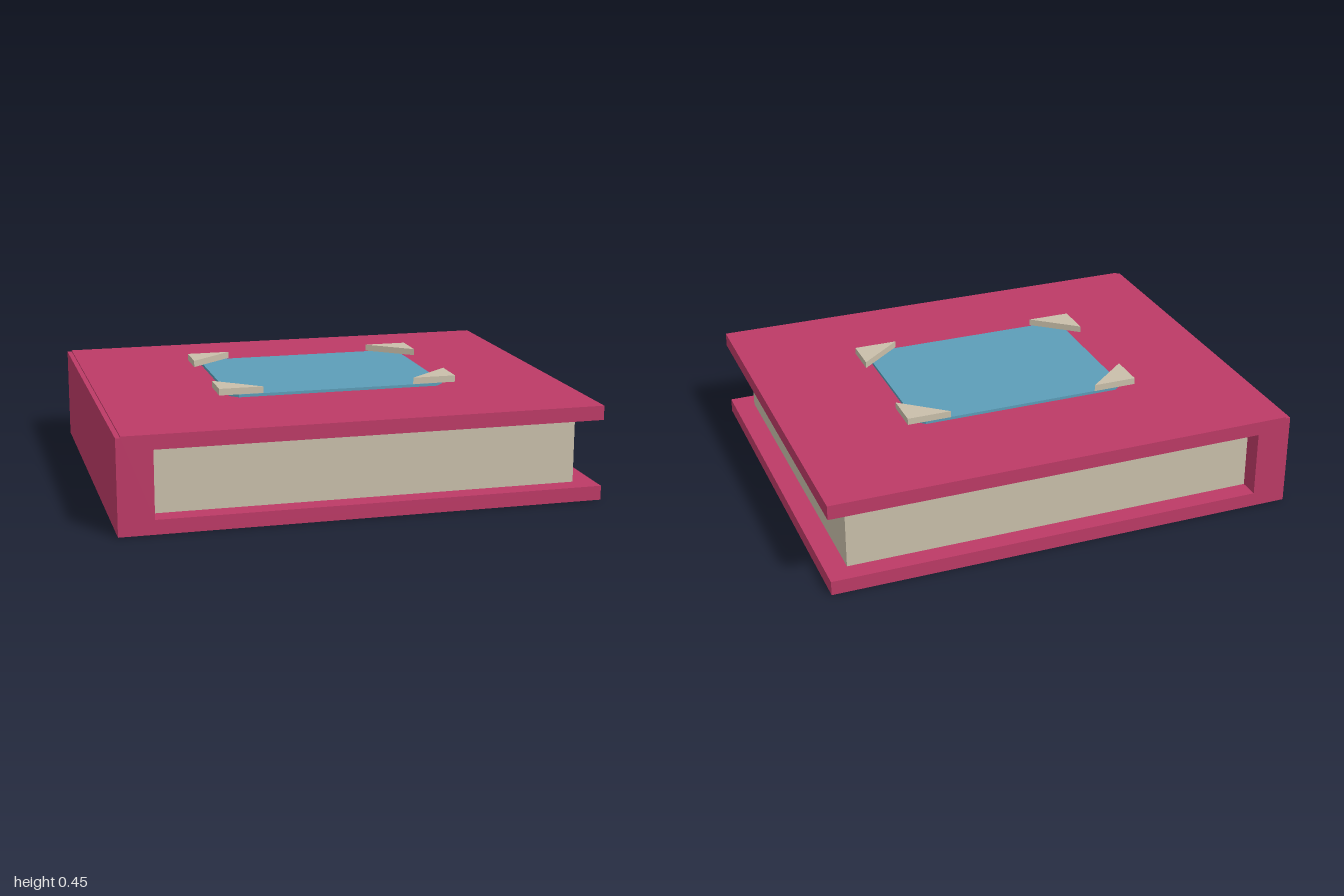
import * as THREE from 'three';

const mat = (name, color) => {
  const m = new THREE.MeshStandardMaterial({ color });
  m.name = name;
  return m;
};

// Extrudes a 2D outline by depth along +z
function extrude(points, depth) {
  const shape = new THREE.Shape(points.map(([x, y]) => new THREE.Vector2(x, y)));
  return new THREE.ExtrudeGeometry(shape, { depth, bevelEnabled: false });
}

// Flat slab: outline given as [x, z], standing from y0 to y1
function slab(points, y0, y1) {
  const g = extrude(points.map(([x, z]) => [x, -z]), y1 - y0);
  return g.rotateX(-Math.PI / 2).translate(0, y0, 0);
}

export function createModel() {
  const album = new THREE.Group();
  album.name = 'photoAlbum';
  const coverMat = mat('raspberry cover', 0xbc3a66);
  const paperMat = mat('cream paper', 0xc9bfaa);
  const photoMat = mat('blue photo', 0x5c9db8);

  const add = (name, geometry, material) => {
    const mesh = new THREE.Mesh(geometry, material);
    mesh.name = name;
    album.add(mesh);
    return mesh;
  };

  // Both boards and the spine as one C profile, with a small step at the hinge
  const profile = [
    [-1, 0], [1, 0], [1, 0.06], [-0.855, 0.06], [-0.855, 0.34],
    [1, 0.34], [1, 0.4], [-0.98, 0.4], [-0.98, 0.394], [-1, 0.394],
  ];
  add('coverAndSpine', extrude(profile, 1.66).translate(0, 0, -0.83), coverMat);

  // Page block
  add('pages', new THREE.BoxGeometry(1.765, 0.28, 1.49), paperMat)
    .position.set(0.0275, 0.2, 0);

  // Thin photo with clipped corners, just above the cover
  const [l, r, b, f, c] = [-0.455, 0.475, -0.36, 0.355, 0.035];
  add('photo', slab([
    [l + c, f], [r - c, f], [r, f - c], [r, b + c],
    [r - c, b], [l + c, b], [l, b + c], [l, f - c],
  ], 0.41, 0.422), photoMat);

  // Triangular mounts holding the photo
  for (const [x, sx, side] of [[-0.505, 1, 'Right'], [0.52, -1, 'Left']]) {
    for (const [z, sz, end] of [[-0.365, 1, 'back'], [0.36, -1, 'front']]) {
      const corner = [[x, z], [x + sx * 0.187, z], [x, z + sz * 0.157]];
      add(`${end}${side}PhotoCorner`, slab(corner, 0.424, 0.452), paperMat);
    }
  }
  return album;
}
